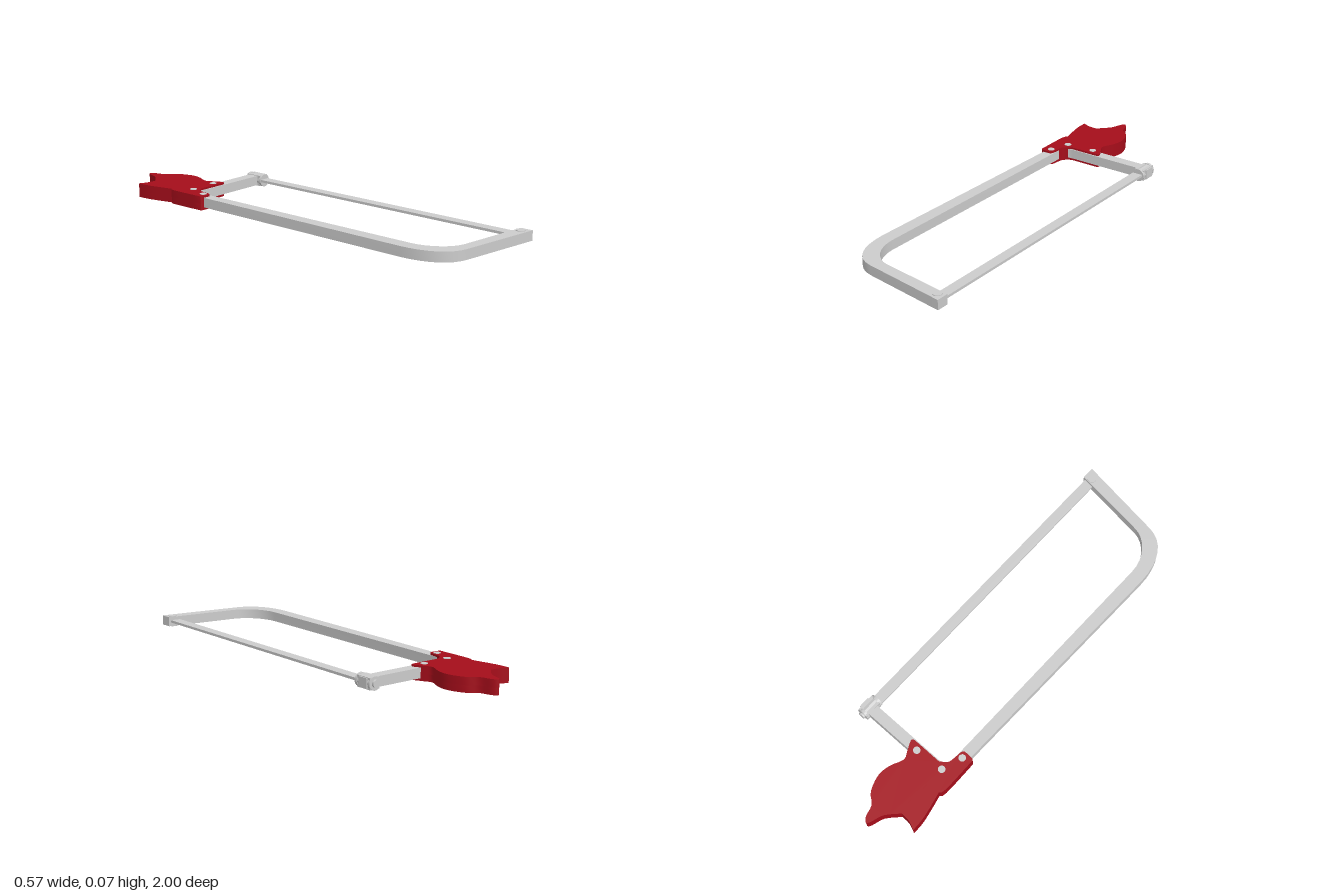
import * as THREE from 'three';
import { toCreasedNormals } from 'three/addons/utils/BufferGeometryUtils.js';

const steel = new THREE.MeshStandardMaterial({ color: 0xcccccc });
const red = new THREE.MeshStandardMaterial({ color: 0xa50d1a });

export function createModel() {
  const group = new THREE.Group();
  group.name = 'hacksaw';

  const add = (name, geometry, material, x = 0, y = 0, z = 0) => {
    const mesh = new THREE.Mesh(geometry, material);
    mesh.name = name;
    mesh.position.set(x, y, z);
    group.add(mesh);
    return mesh;
  };
  // Flat plate lying between heights y0 and y1; its shape is drawn in (x, -z)
  const plate = (name, shape, y0, y1, material) => {
    const g = new THREE.ExtrudeGeometry(shape, { depth: y1 - y0, bevelEnabled: false, curveSegments: 8 });
    g.rotateX(-Math.PI / 2);
    return add(name, toCreasedNormals(g, 0.6), material, 0, y0, 0);
  };

  // Bent bar: rear arm, long spine and front arm
  const bar = new THREE.Shape();
  bar.moveTo(0.285, 0.628);
  bar.lineTo(-0.18, 0.628);
  bar.quadraticCurveTo(-0.25, 0.628, -0.252, 0.54);
  bar.lineTo(-0.275, -0.7);
  bar.bezierCurveTo(-0.275, -0.84, -0.22, -0.925, -0.13, -0.938);
  bar.lineTo(0.285, -0.997);
  bar.lineTo(0.285, -0.937);
  bar.lineTo(-0.08, -0.89);
  bar.bezierCurveTo(-0.15, -0.88, -0.21, -0.8, -0.21, -0.71);
  bar.lineTo(-0.2, 0.53);
  bar.quadraticCurveTo(-0.2, 0.575, -0.15, 0.575);
  bar.lineTo(0.285, 0.575);
  plate('frame', bar, 0.015, 0.062, steel);

  // Blade and its front pin
  add('blade', new THREE.BoxGeometry(0.05, 0.012, 1.52), steel, 0.25, 0.04, 0.2);
  add('bladePin', new THREE.CylinderGeometry(0.022, 0.022, 0.053, 24), steel, 0.25, 0.0385, 0.957);

  // Tension clamp at the end of the rear arm
  const clamp = new THREE.Group();
  clamp.name = 'tensionClamp';
  clamp.position.set(0.253, 0.0385, -0.6);
  const barrel = new THREE.CylinderGeometry(0.029, 0.029, 0.08, 12).rotateX(Math.PI / 2);
  const collar = new THREE.CylinderGeometry(0.031, 0.031, 0.014, 24).rotateX(Math.PI / 2);
  const piece = (name, geometry, z) => {
    const mesh = new THREE.Mesh(toCreasedNormals(geometry, 0.4), steel);
    mesh.name = name;
    mesh.position.z = z;
    clamp.add(mesh);
  };
  piece('clampBarrel', barrel, 0);
  piece('frontCollar', collar, 0.045);
  piece('rearCollar', collar, -0.038);
  piece('clampBlock', new THREE.BoxGeometry(0.052, 0.052, 0.085), 0);
  piece('clampScrew', new THREE.CylinderGeometry(0.017, 0.017, 0.05, 16).rotateX(Math.PI / 2), -0.03);
  group.add(clamp);

  // Handle outline as (x, -z), in runs of smooth curve joined at sharp corners
  const runs = [
    [[-0.205, 0.485], [-0.2, 0.53], [-0.192, 0.557], [-0.16, 0.581]],
    [[-0.16, 0.581], [-0.013, 0.581]],
    [[-0.013, 0.581], [0, 0.592], [-0.022, 0.64], [-0.038, 0.68], [-0.01, 0.745], [-0.003, 0.81], [-0.03, 0.885],
      [-0.074, 0.925], [-0.09, 0.978], [-0.11, 1.0], [-0.125, 0.982], [-0.145, 0.925], [-0.2, 0.865]],
    [[-0.2, 0.865], [-0.245, 0.868], [-0.288, 0.885]],
    [[-0.288, 0.885], [-0.284, 0.81], [-0.257, 0.685]],
    [[-0.257, 0.685], [-0.271, 0.655], [-0.27, 0.478]],
    [[-0.27, 0.478], [-0.26, 0.471], [-0.217, 0.471], [-0.205, 0.485]],
  ];
  const outline = runs.flatMap(run => {
    const pts = run.map(p => new THREE.Vector2(...p));
    if (pts.length === 2) return [pts[0]];
    return new THREE.SplineCurve(pts).getPoints((pts.length - 1) * 3).slice(0, -1);
  });
  const lower = new THREE.Shape(outline);
  // Shallow triangular recess in the underside
  lower.holes.push(new THREE.Path([[-0.2, 0.67], [-0.2, 0.81], [-0.14, 0.735]].map(p => new THREE.Vector2(...p))));
  plate('handleLower', lower, 0.003, 0.035, red);
  plate('handleUpper', new THREE.Shape(outline), 0.035, 0.071, red);

  // Rivets through handle and frame
  for (const [x, z] of [[-0.195, -0.6], [-0.052, -0.61], [-0.228, -0.5]]) {
    add('rivet', new THREE.CylinderGeometry(0.017, 0.017, 0.073, 20), steel, x, 0.0365, z);
  }
  return group;
}
